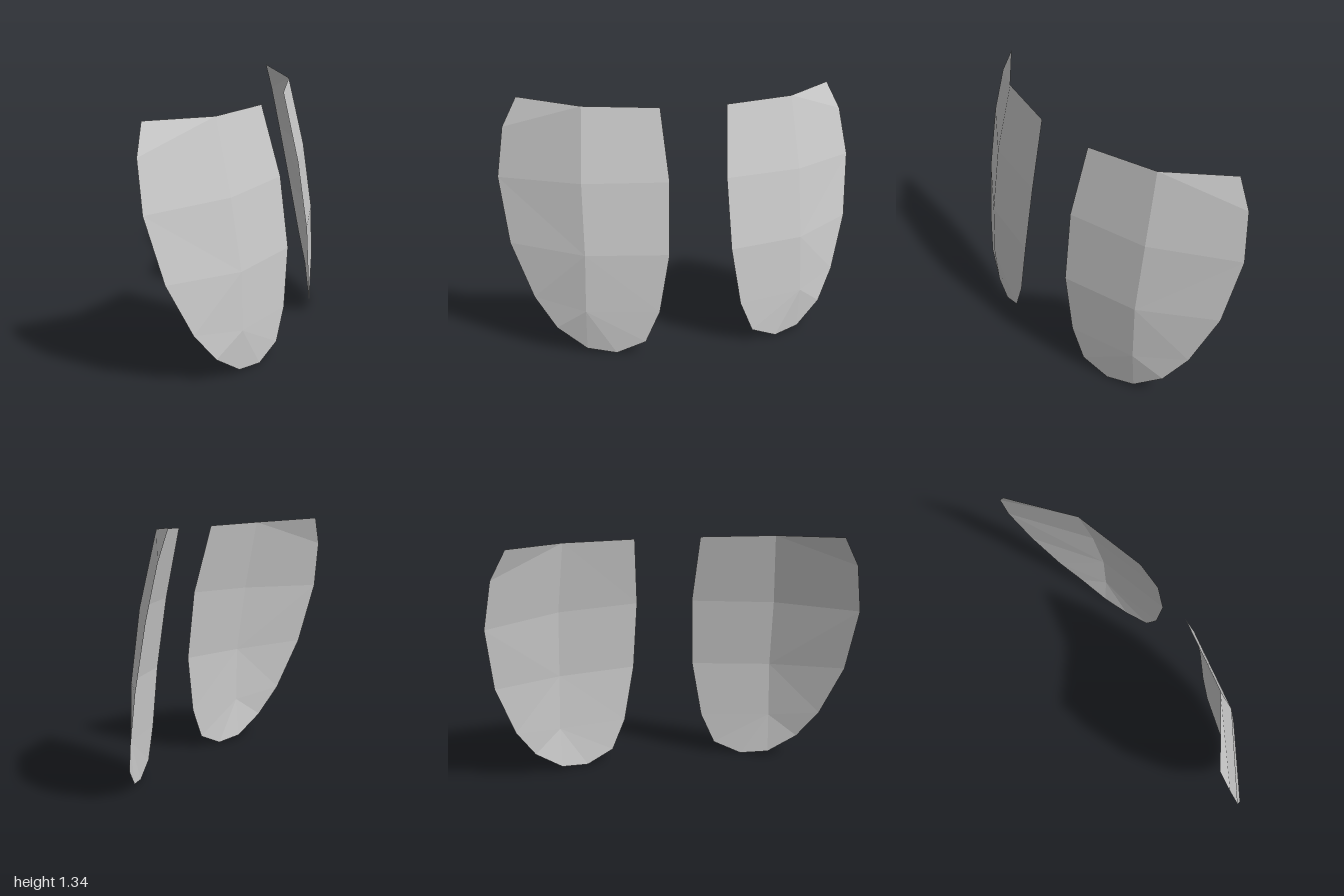
import * as THREE from 'three';

// Rim of one panel, from its outer top corner down round the tip and up the inner edge
const RIM = [
  [-0.245, 1.335, 0.88], [-0.235, 1.18, 0.96], [-0.195, 0.92, 1.0], [-0.11, 0.575, 0.96],
  [-0.015, 0.29, 0.855], [0.06, 0.13, 0.75], [0.125, 0.02, 0.6], [0.18, 0, 0.45],
  [0.222, 0.065, 0.3], [0.238, 0.235, 0.225], [0.24, 0.55, 0.17], [0.19, 0.93, 0.155],
  [0.095, 1.305, 0.18],
];
// Crease down the middle of the panel, top to bottom
const RIDGE = [[0, 1.315, 0.575], [0.085, 0.925, 0.6], [0.138, 0.55, 0.6], [0.145, 0.24, 0.605]];
// Ridge point that each rim segment fans towards
const FAN = [0, 1, 2, 2, 3, 3, 3, 3, 3, 2, 1, 0];

function panelGeometry(side) {
  const points = [...RIM, ...RIDGE].flatMap(([x, y, z]) => [x, y, z * side]);
  const index = [];
  // Reverse the corners on the mirrored panel so it still faces outwards
  const tri = (a, b, c) => index.push(...(side > 0 ? [a, b, c] : [a, c, b]));
  const ridge = (i) => RIM.length + i;
  FAN.forEach((r, i) => {
    if (i > 0 && FAN[i - 1] !== r) tri(ridge(FAN[i - 1]), i, ridge(r));
    tri(ridge(r), i, i + 1);
  });
  const geometry = new THREE.BufferGeometry();
  geometry.setAttribute('position', new THREE.Float32BufferAttribute(points, 3));
  geometry.setIndex(index);
  const faceted = geometry.toNonIndexed();
  faceted.computeVertexNormals();
  return faceted;
}

export function createModel() {
  const group = new THREE.Group();
  group.name = 'curvedPanels';
  const material = new THREE.MeshStandardMaterial({
    color: 0xcccccc, flatShading: true, side: THREE.DoubleSide,
  });
  // Two thin creased panels mirrored front to back
  for (const [name, side] of [['frontPanel', 1], ['backPanel', -1]]) {
    const panel = new THREE.Mesh(panelGeometry(side), material);
    panel.name = name;
    group.add(panel);
  }
  return group;
}
